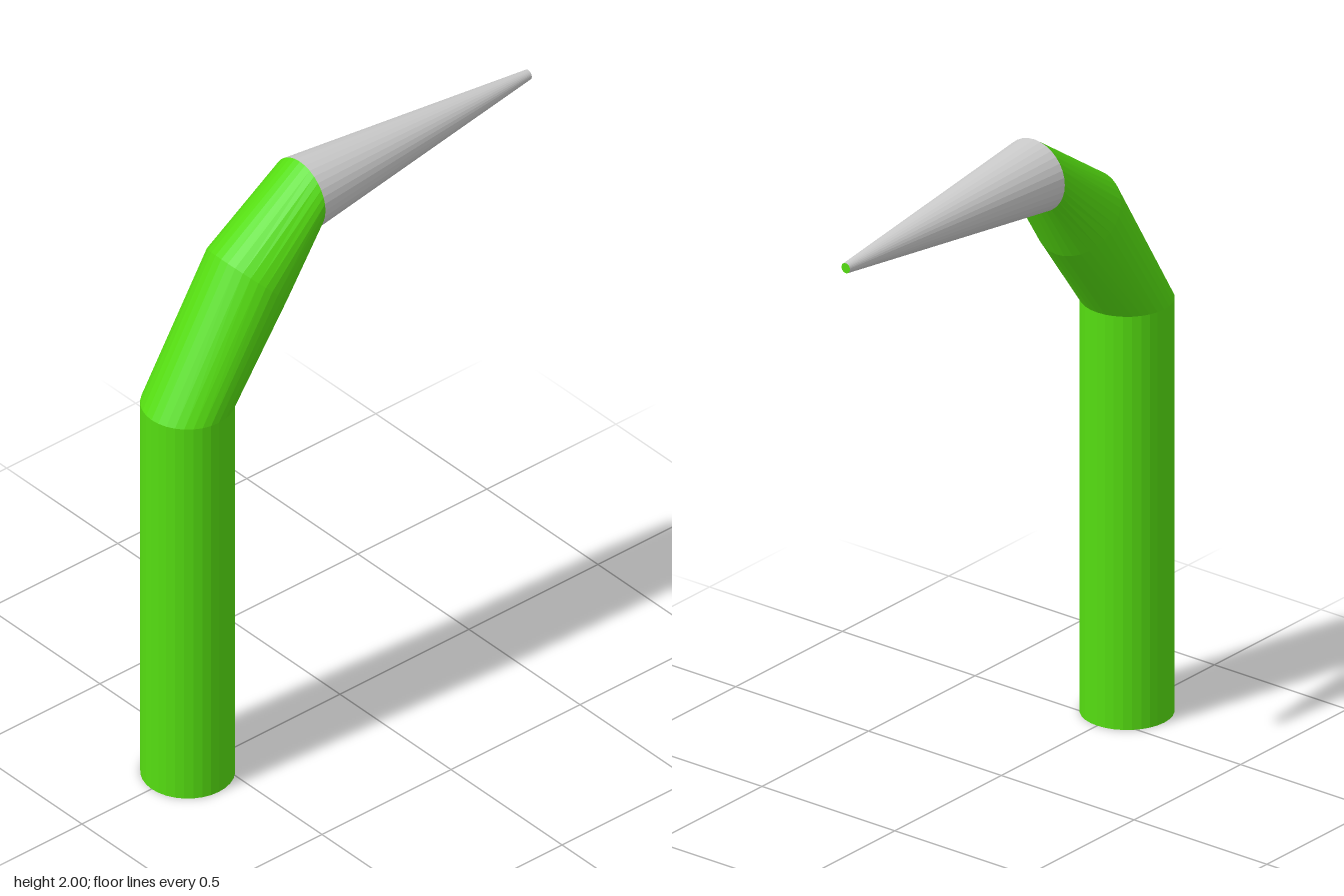
import * as THREE from 'three';

const SIDES = 32;

// Each ring: centre (y, z), half-width in x, and half-vector (uy, uz) to its outer edge
const rings = {
  base: { y: 0, z: 0.59, r: 0.14, uy: 0, uz: 0.14 },
  top: { y: 1.335, z: 0.59, r: 0.14, uy: 0, uz: 0.14 },
  bend: { y: 1.69, z: 0.36, r: 0.14, uy: 0.1, uz: 0.1 },
  neck: { y: 1.885, z: 0.155, r: 0.115, uy: 0.115, uz: 0 },
  tip: { y: 1.9, z: -0.73, r: 0.016, uy: 0.016, uz: 0 },
};

function ringPoint(ring, i) {
  const t = (i / SIDES) * Math.PI * 2;
  const c = Math.cos(t), s = Math.sin(t);
  return [ring.r * c, ring.y + ring.uy * s, ring.z + ring.uz * s];
}

function facetedMesh(name, positions, color) {
  const geometry = new THREE.BufferGeometry();
  geometry.setAttribute('position', new THREE.Float32BufferAttribute(positions, 3));
  geometry.computeVertexNormals();
  const mesh = new THREE.Mesh(geometry, new THREE.MeshStandardMaterial({ color, flatShading: true }));
  mesh.name = name;
  return mesh;
}

// Tube wall between two rings
function section(name, a, b, color) {
  const p = [];
  for (let i = 0; i < SIDES; i++) {
    const a0 = ringPoint(a, i), a1 = ringPoint(a, i + 1);
    const b0 = ringPoint(b, i), b1 = ringPoint(b, i + 1);
    p.push(...a0, ...b0, ...b1, ...a0, ...b1, ...a1);
  }
  return facetedMesh(name, p, color);
}

// Flat disc closing one end
function cap(name, ring, color, atEnd) {
  const p = [];
  for (let i = 0; i < SIDES; i++) {
    const p0 = ringPoint(ring, i), p1 = ringPoint(ring, i + 1);
    p.push(0, ring.y, ring.z, ...(atEnd ? p1 : p0), ...(atEnd ? p0 : p1));
  }
  return facetedMesh(name, p, color);
}

export function createModel() {
  const green = 0x55dd11, grey = 0xcccccc;
  const { base, top, bend, neck, tip } = rings;
  const group = new THREE.Group();
  group.name = 'bentSpike';
  group.add(
    cap('baseCap', base, green, false),
    section('column', base, top, green),
    section('lowerBend', top, bend, green),
    section('upperBend', bend, neck, green),
    section('spike', neck, tip, grey),
    cap('tipCap', tip, green, true),
  );
  return group;
}
